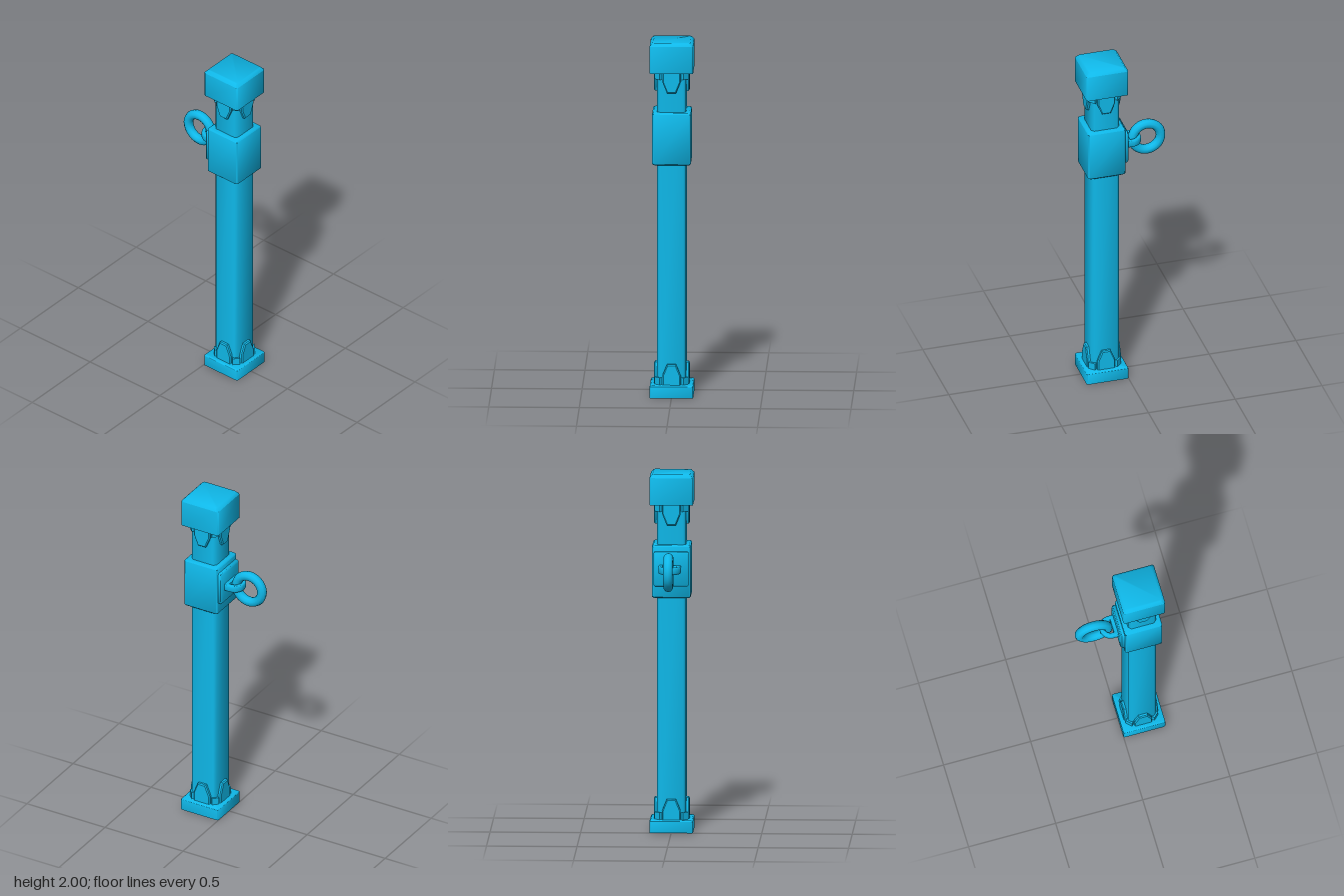
import * as THREE from 'three';
import { toCreasedNormals } from 'three/addons/utils/BufferGeometryUtils.js';

const CX = 0.12; // post axis in x

// Lofts chamfered-square sections [y, half width, corner chamfer], listed upwards
function loftSquare(sections, crease = 0.9) {
  const pos = [], idx = [], n = sections.length;
  for (const [y, h, c] of sections) {
    const k = h - c;
    for (const [x, z] of [[h, k], [k, h], [-k, h], [-h, k], [-h, -k], [-k, -h], [k, -h], [h, -k]]) pos.push(x, y, z);
  }
  for (let s = 0; s < n - 1; s++) {
    for (let i = 0; i < 8; i++) {
      const a = s * 8 + i, b = s * 8 + (i + 1) % 8;
      idx.push(a, a + 8, b, b, a + 8, b + 8);
    }
  }
  const t = (n - 1) * 8;
  for (let i = 1; i < 7; i++) idx.push(0, i, i + 1, t, t + i + 1, t + i);
  const g = new THREE.BufferGeometry();
  g.setAttribute('position', new THREE.Float32BufferAttribute(pos, 3));
  g.setIndex(idx);
  return toCreasedNormals(g, crease);
}

export function createModel() {
  const model = new THREE.Group();
  model.name = 'ringPost';
  const mat = new THREE.MeshStandardMaterial({ color: 0x0fb9ea });
  const add = (parent, name, geometry, x = 0, y = 0, z = 0) => {
    const m = new THREE.Mesh(geometry, mat);
    m.name = name;
    m.position.set(x, y, z);
    parent.add(m);
    return m;
  };

  // Square post with its end blocks and sliding collar
  add(model, 'shaft', loftSquare([[0.04, 0.08, 0.015], [1.86, 0.08, 0.015]]), CX);
  add(model, 'base', loftSquare([[0, 0.12, 0.006], [0.064, 0.12, 0.006], [0.07, 0.114, 0.006]]), CX);
  add(model, 'cap', loftSquare([[1.83, 0.12, 0.008], [1.982, 0.12, 0.008], [2, 0.104, 0.008]]), CX);
  add(model, 'collar', loftSquare([
    [1.31, 0.099, 0.008], [1.318, 0.107, 0.008], [1.597, 0.107, 0.008], [1.605, 0.099, 0.008],
  ]), CX);

  // Tapered claws on each face and small blocks on each corner, at both ends
  const bevel = 0.006;
  const clawShape = new THREE.Shape([
    [-0.045, -0.01], [0.045, -0.01], [0.045, 0.05], [0.021, 0.109], [-0.021, 0.109], [-0.045, 0.05],
  ].map(([x, y]) => new THREE.Vector2(x, y)));
  const clawGeo = toCreasedNormals(new THREE.ExtrudeGeometry(clawShape, {
    depth: 0.022, bevelEnabled: true, bevelSize: bevel, bevelThickness: bevel, bevelSegments: 1,
  }), 0.5);
  clawGeo.translate(0, 0, 0.07);
  const cornerGeo = new THREE.BoxGeometry(0.04, 0.05, 0.04);
  for (const [name, y, flip] of [['lowerClaws', 0.07, 0], ['upperClaws', 1.83, Math.PI]]) {
    const ring = new THREE.Group();
    ring.name = name;
    ring.position.set(CX, y, 0);
    ring.rotation.z = flip;
    for (let i = 0; i < 4; i++) {
      const a = i * Math.PI / 2, d = a + Math.PI / 4;
      add(ring, 'claw', clawGeo).rotation.y = a;
      add(ring, 'cornerBlock', cornerGeo, Math.sin(d) * 0.092, 0.015, Math.cos(d) * 0.092).rotation.y = d;
    }
    model.add(ring);
  }

  // Bevelled plate on the collar's right side
  const plateGeo = loftSquare([[0, 0.096, 0.006], [0.016, 0.096, 0.006], [0.024, 0.088, 0.006]]);
  plateGeo.rotateZ(Math.PI / 2);
  add(model, 'mountPlate', plateGeo, 0.014, 1.475, 0);

  // D-shaped eye lying flat, straight side against the plate
  const dPath = (P, x0, r) => {
    const p = new P();
    p.moveTo(x0, -r);
    p.lineTo(x0, r);
    p.lineTo(-0.04, r);
    p.absarc(-0.04, 0, r, Math.PI / 2, Math.PI * 1.5, false);
    p.closePath();
    return p;
  };
  const eyeShape = dPath(THREE.Shape, -0.008, 0.056);
  eyeShape.holes.push(dPath(THREE.Path, -0.026, 0.044));
  const eyeGeo = new THREE.ExtrudeGeometry(eyeShape, {
    depth: 0.026, bevelEnabled: true, bevelSize: 0.006, bevelThickness: 0.008, bevelSegments: 2, curveSegments: 10,
  });
  eyeGeo.translate(0, 0, -0.013);
  eyeGeo.rotateX(-Math.PI / 2);
  add(model, 'eye', toCreasedNormals(eyeGeo, 0.9), 0, 1.477, -0.007);

  // Loose ring hanging through the eye
  add(model, 'ring', new THREE.TorusGeometry(0.081, 0.027, 10, 28), -0.136, 1.477, -0.01);
  return model;
}
